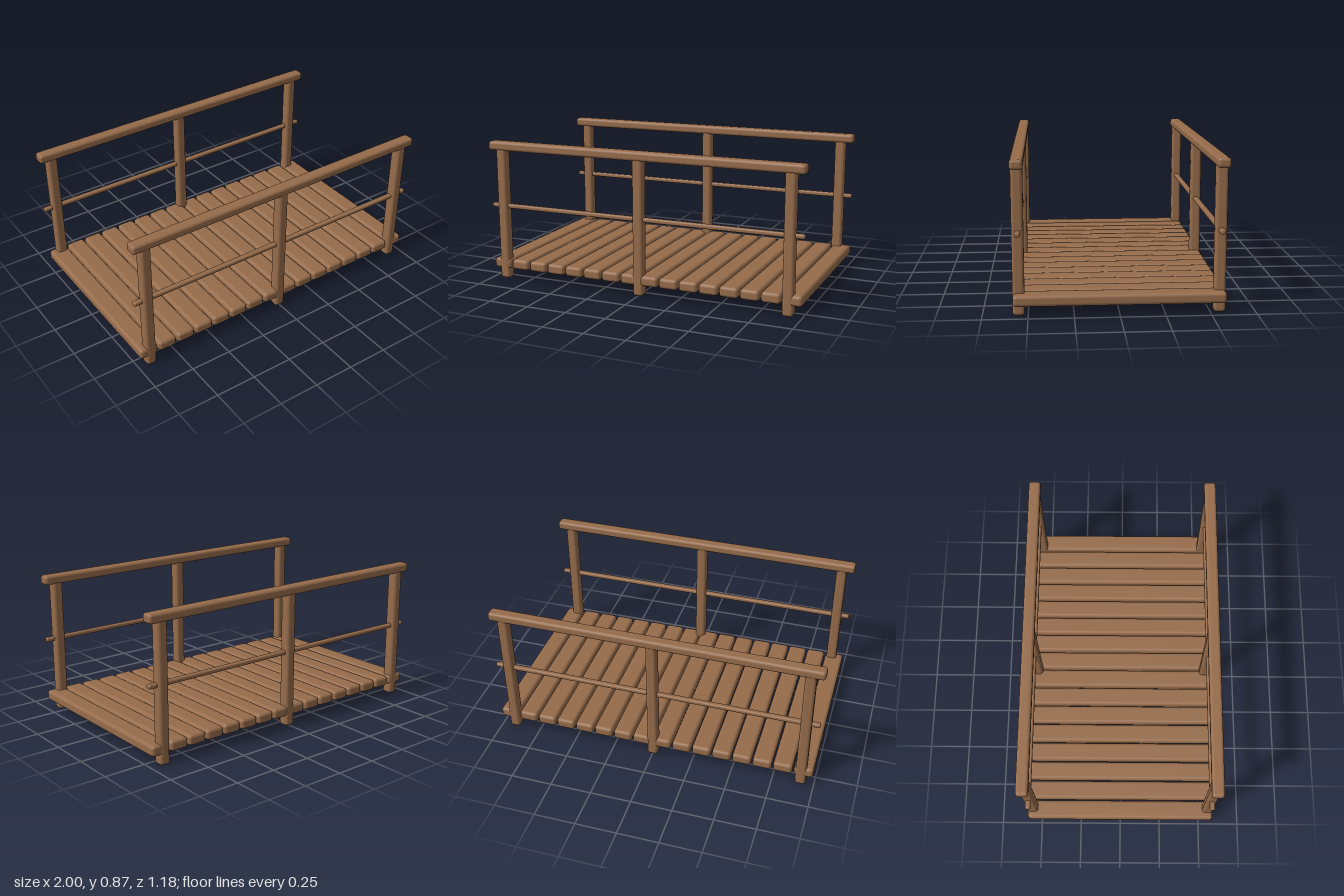
import * as THREE from 'three';
import { RoundedBoxGeometry } from 'three/addons/geometries/RoundedBoxGeometry.js';

export function createModel() {
  const bridge = new THREE.Group();
  bridge.name = 'footbridge';
  const wood = new THREE.MeshStandardMaterial({ color: 0x966c4b });
  wood.name = 'brown wood';

  // Rounded timber, centred on the given point
  function timber(name, parent, [w, h, d], [x, y, z], radius) {
    const mesh = new THREE.Mesh(new RoundedBoxGeometry(w, h, d, 3, radius), wood);
    mesh.name = name;
    mesh.position.set(x, y, z);
    parent.add(mesh);
  }

  // Deck: a row of planks laid across the bridge
  const deck = new THREE.Group();
  deck.name = 'deck';
  bridge.add(deck);
  for (let i = 0; i < 16; i++) {
    timber('plank', deck, [0.115, 0.064, 1.166], [-0.933 + i * 0.125, 0.095, 0], 0.02);
  }

  // Railings, one on each side
  for (const side of [1, -1]) {
    const railing = new THREE.Group();
    railing.name = side > 0 ? 'frontRailing' : 'backRailing';
    bridge.add(railing);
    const z = side * 0.552;
    for (const x of [-0.918, 0, 0.915]) {
      timber('post', railing, [0.064, 0.83, 0.066], [x, 0.415, z], 0.018);
    }
    timber('handrail', railing, [2, 0.056, 0.073], [0, 0.837, z], 0.018);
    timber('middleRail', railing, [2, 0.027, 0.032], [0, 0.462, z], 0.01);
  }
  return bridge;
}
